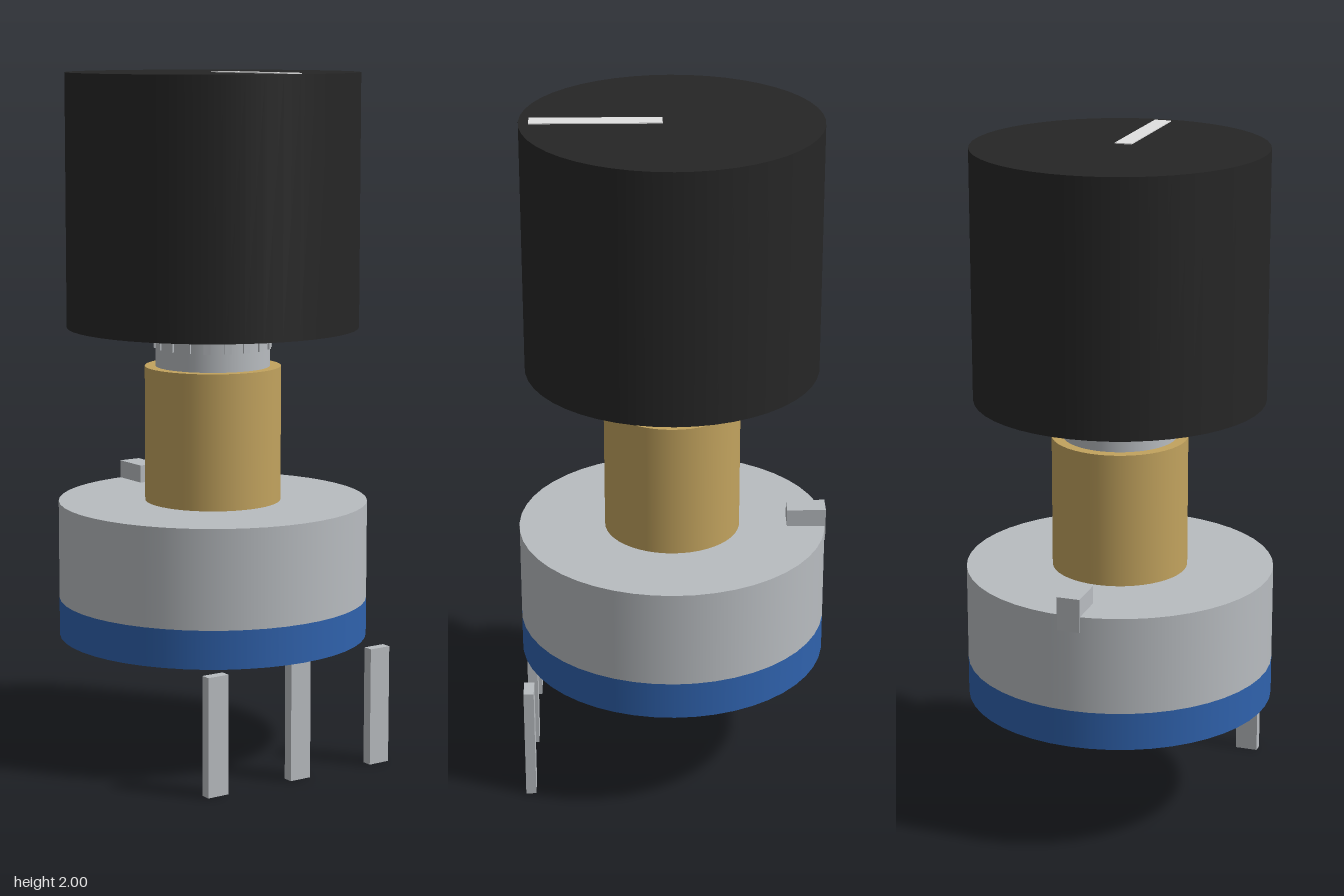
import * as THREE from 'three';

const material = (name, color) => {
  const m = new THREE.MeshStandardMaterial({ color });
  m.name = name;
  return m;
};

export function createModel() {
  const model = new THREE.Group();
  model.name = 'rotaryPotentiometer';

  const metal = material('metal grey', 0xb8bcc0);
  const brass = material('brass', 0xc2a35e);
  const blue = material('blue base', 0x2f62ad);
  const black = material('knob black', 0x262626);
  const white = material('pointer white', 0xe0e0e0);

  const add = (name, geometry, mat, x, y, z, parent = model) => {
    const mesh = new THREE.Mesh(geometry, mat);
    mesh.name = name;
    mesh.position.set(x, y, z);
    parent.add(mesh);
    return mesh;
  };
  // Upright cylinder between two heights
  const cylinder = (name, r, y0, y1, mat) =>
    add(name, new THREE.CylinderGeometry(r, r, y1 - y0, 48), mat, 0, (y0 + y1) / 2, 0);

  // Stacked round parts, bottom to top
  cylinder('basePlate', 0.455, 0.345, 0.457, blue);
  cylinder('housing', 0.455, 0.457, 0.747, metal);
  cylinder('bushing', 0.2, 0.747, 1.145, brass);
  cylinder('shaft', 0.168, 1.145, 1.3, metal);
  cylinder('knob', 0.427, 1.26, 1.997, black);

  // Knurled teeth around the shaft, running up into the knob
  const knurl = new THREE.Group();
  knurl.name = 'shaftKnurl';
  model.add(knurl);
  const teeth = 18;
  const toothGeometry = new THREE.BoxGeometry(0.02, 0.1, 0.016);
  for (let i = 0; i < teeth; i++) {
    const a = (i / teeth) * Math.PI * 2;
    const tooth = add('knurlTooth', toothGeometry, metal, Math.sin(a) * 0.165, 1.248, Math.cos(a) * 0.165, knurl);
    tooth.rotation.y = a;
  }

  // Pointer line on the knob's top
  add('pointer', new THREE.BoxGeometry(0.05, 0.008, 0.372), white, 0, 1.996, 0.212);

  // Anti-rotation tab at the back of the housing
  add('locatingTab', new THREE.BoxGeometry(0.068, 0.1, 0.115), metal, 0, 0.75, -0.3985);

  // Three terminal pins along the front edge
  const pinGeometry = new THREE.BoxGeometry(0.068, 0.345, 0.03);
  for (const x of [-0.285, 0, 0.285]) add('terminalPin', pinGeometry, metal, x, 0.1725, 0.427);

  return model;
}
